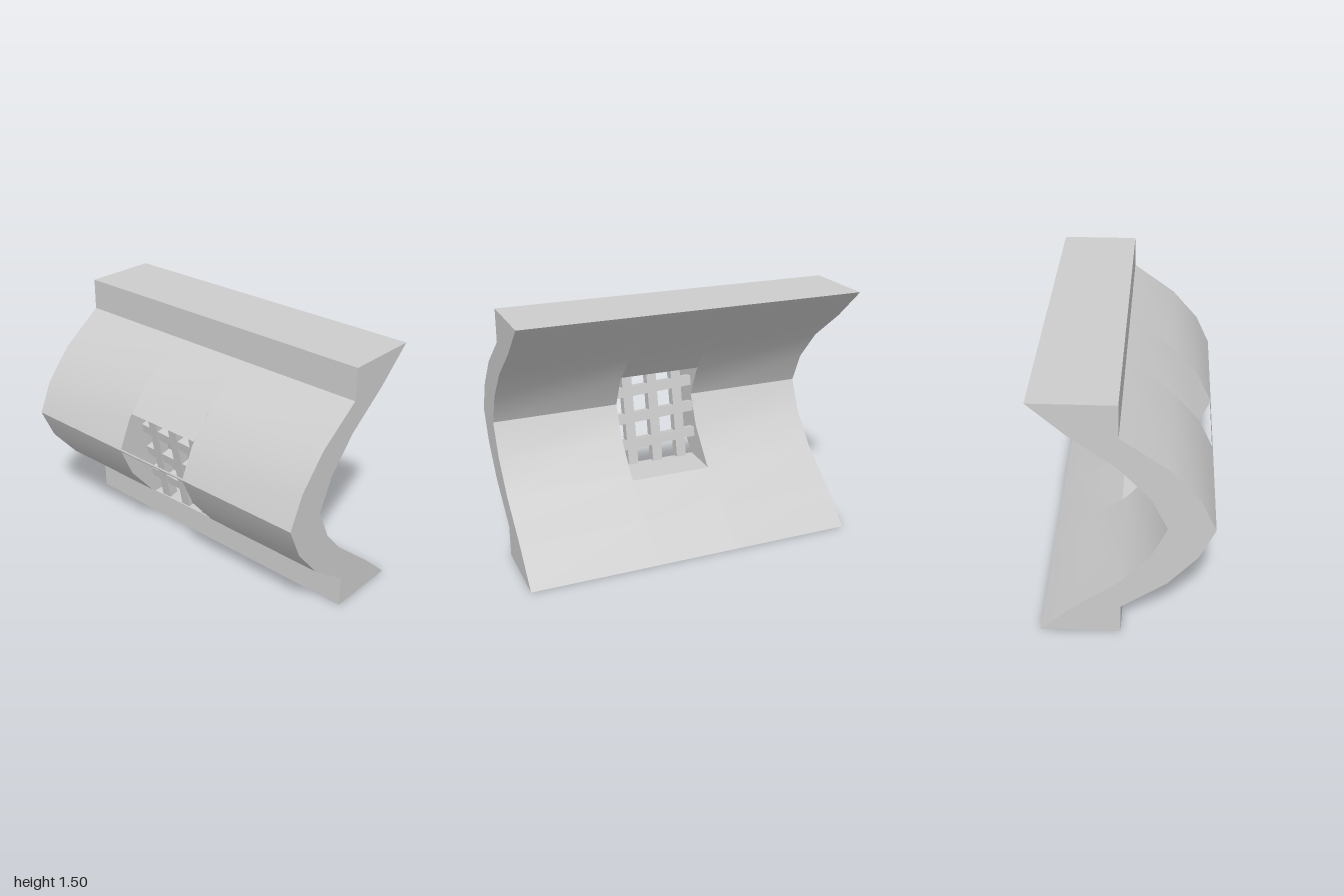
import * as THREE from 'three';
import { toCreasedNormals } from 'three/addons/utils/BufferGeometryUtils.js';

export function createModel() {
  const model = new THREE.Group();
  const material = new THREE.MeshStandardMaterial({ color: 0xcccccc });
  const zBack = -0.265, zFront = 0.235; // sides of the window
  const sill = 0.355, lintel = 0.955;   // bottom and top of the window

  function add(name, geometry, parent = model) {
    const mesh = new THREE.Mesh(geometry, material);
    mesh.name = name;
    parent.add(mesh);
    return mesh;
  }

  // Extrudes an x/y outline from z0 to z1
  function slab(name, points, z0, z1) {
    const shape = new THREE.Shape(points.map(([x, y]) => new THREE.Vector2(x, y)));
    const geometry = new THREE.ExtrudeGeometry(shape, { depth: z1 - z0, bevelEnabled: false });
    geometry.translate(0, 0, z0);
    add(name, toCreasedNormals(geometry, 0.6));
  }

  // Bowed wall: lower half of each face, mirrored about y = 0.75
  const outer = [[0.025, 0], [0.025, 0.1875], [-0.23, 0.375], [-0.39, 0.5625], [-0.475, 0.75]];
  const inner = [[0.475, 0], [0.27, 0.1875], [0.025, 0.375], [-0.14, 0.5625], [-0.225, 0.75]];
  const mirror = (pts) => pts.map(([x, y]) => [x, 1.5 - y]).reverse();
  const full = (half) => [...half, ...mirror(half.slice(0, 4))];
  const profile = [...full(outer), ...full(inner).reverse()];
  slab('wallFront', profile, zFront, 1);
  slab('wallBack', profile, -1, zBack);

  // Wall below and above the window
  slab('wallBelowWindow', [[0.025, 0], [0.025, 0.1875], [-0.202, sill],
    [0.051, sill], [0.27, 0.1875], [0.475, 0]], zBack, zFront);
  slab('wallAboveWindow', [[-0.377, lintel], [-0.23, 1.125], [0.025, 1.3125], [0.025, 1.5],
    [0.475, 1.5], [0.27, 1.3125], [0.025, 1.125], [-0.127, lintel]], zBack, zFront);

  // Thin strip left along the outer ridge
  slab('ridgeStrip', [[-0.475, 0.75], [-0.471, 0.741], [-0.471, 0.759]], zBack, zFront);

  // Slightly leaning lattice set in the window
  const lattice = new THREE.Group();
  lattice.name = 'lattice';
  lattice.position.set(-0.228, 0.655, 0);
  lattice.rotation.z = 0.2;
  model.add(lattice);
  for (let i = -1; i <= 1; i++) {
    const upright = add('uprightBar', new THREE.BoxGeometry(0.06, 0.625, 0.062), lattice);
    upright.position.set(0, 0.0175, -0.005 + i * 0.162);
    const cross = add('crossBar', new THREE.BoxGeometry(0.06, 0.06, 0.54), lattice);
    cross.position.set(0.004, 0.005 + i * 0.165, -0.015);
    cross.rotation.x = 0.05;
  }
  return model;
}
